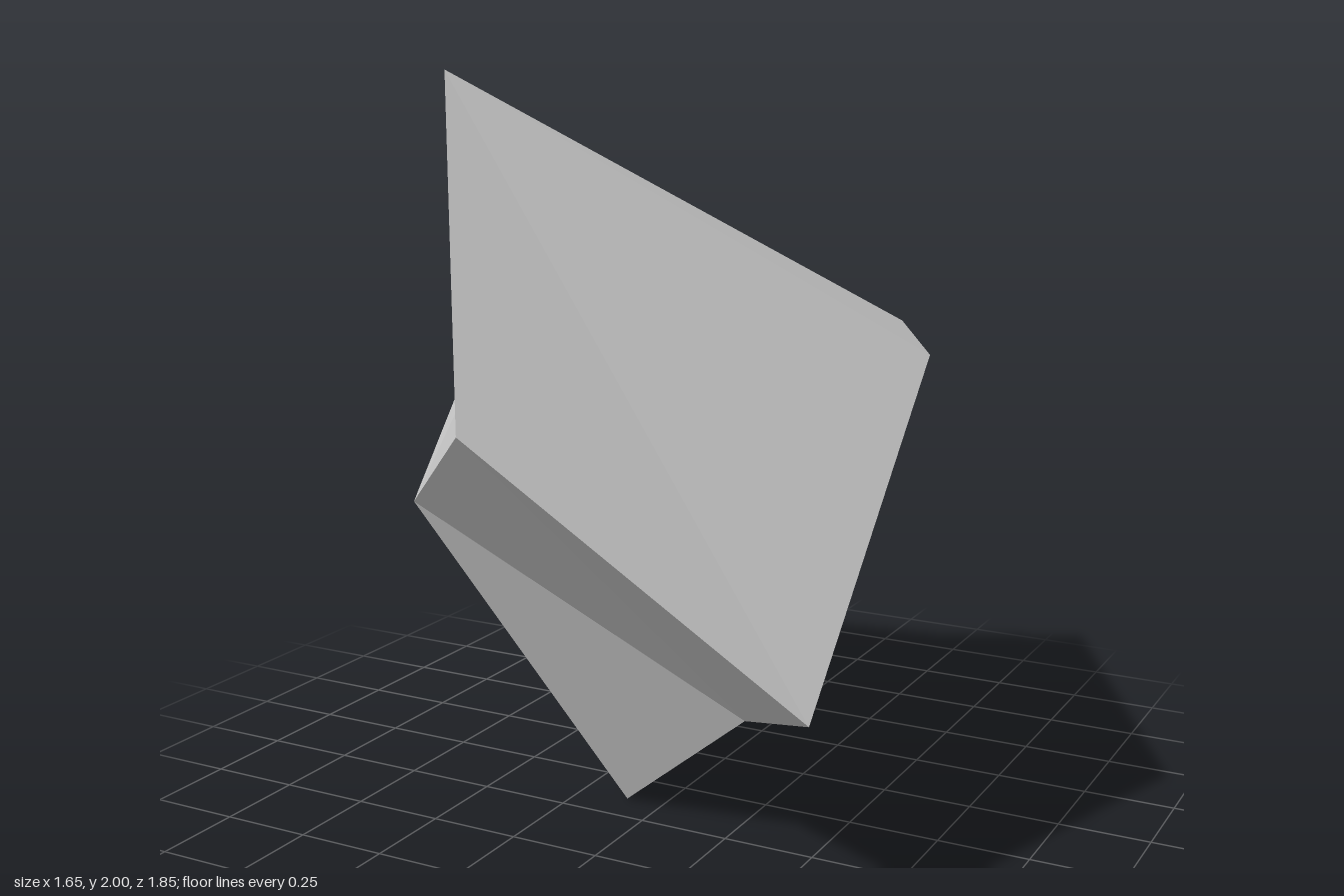
import * as THREE from 'three';

// Corner points of the faceted rock
const corners = {
  peak: [-0.108, 2.0, 0.926],
  shoulder: [-0.538, 1.6, -0.22],
  sideHigh: [-0.823, 1.4, -0.42],
  sideLow: [-0.722, 0.805, -0.18],
  cheek: [-0.538, 0.88, 0.5],
  brow: [-0.108, 1.175, 0.92],
  flankHigh: [0.823, 1.355, 0.357],
  flankLow: [0.708, 0.563, 0.752],
  under: [0.36, 0.385, 0.363],
  foot: [-0.108, 0, 0.14],
  backHigh: [0.28, 1.23, -0.865],
  backLow: [-0.108, 0.887, -0.926],
};

// Fans of facets: a hub corner, then the corners around it, counter-clockwise from outside
const fans = [
  ['peak', 'brow', 'flankLow', 'flankHigh', 'backHigh', 'shoulder', 'brow'],
  ['cheek', 'brow', 'shoulder', 'sideHigh', 'sideLow', 'foot', 'under', 'brow'],
  ['under', 'flankLow', 'brow'],
  ['under', 'backHigh', 'flankHigh', 'flankLow'],
  ['backHigh', 'under', 'foot', 'backLow', 'shoulder'],
  ['backLow', 'foot', 'sideLow', 'sideHigh', 'shoulder'],
];

// Unshared corners keep every facet flat
function facetedGeometry() {
  const positions = [];
  for (const [hub, ...rim] of fans) {
    for (let i = 0; i + 1 < rim.length; i++) {
      positions.push(...corners[hub], ...corners[rim[i]], ...corners[rim[i + 1]]);
    }
  }
  const geometry = new THREE.BufferGeometry();
  geometry.setAttribute('position', new THREE.Float32BufferAttribute(positions, 3));
  geometry.computeVertexNormals();
  return geometry;
}

export function createModel() {
  const stone = new THREE.MeshStandardMaterial({ color: 0xc6c6c6 });
  stone.name = 'light stone grey';

  const rock = new THREE.Mesh(facetedGeometry(), stone);
  rock.name = 'rock';

  const model = new THREE.Group();
  model.name = 'facetedRock';
  model.add(rock);
  return model;
}
